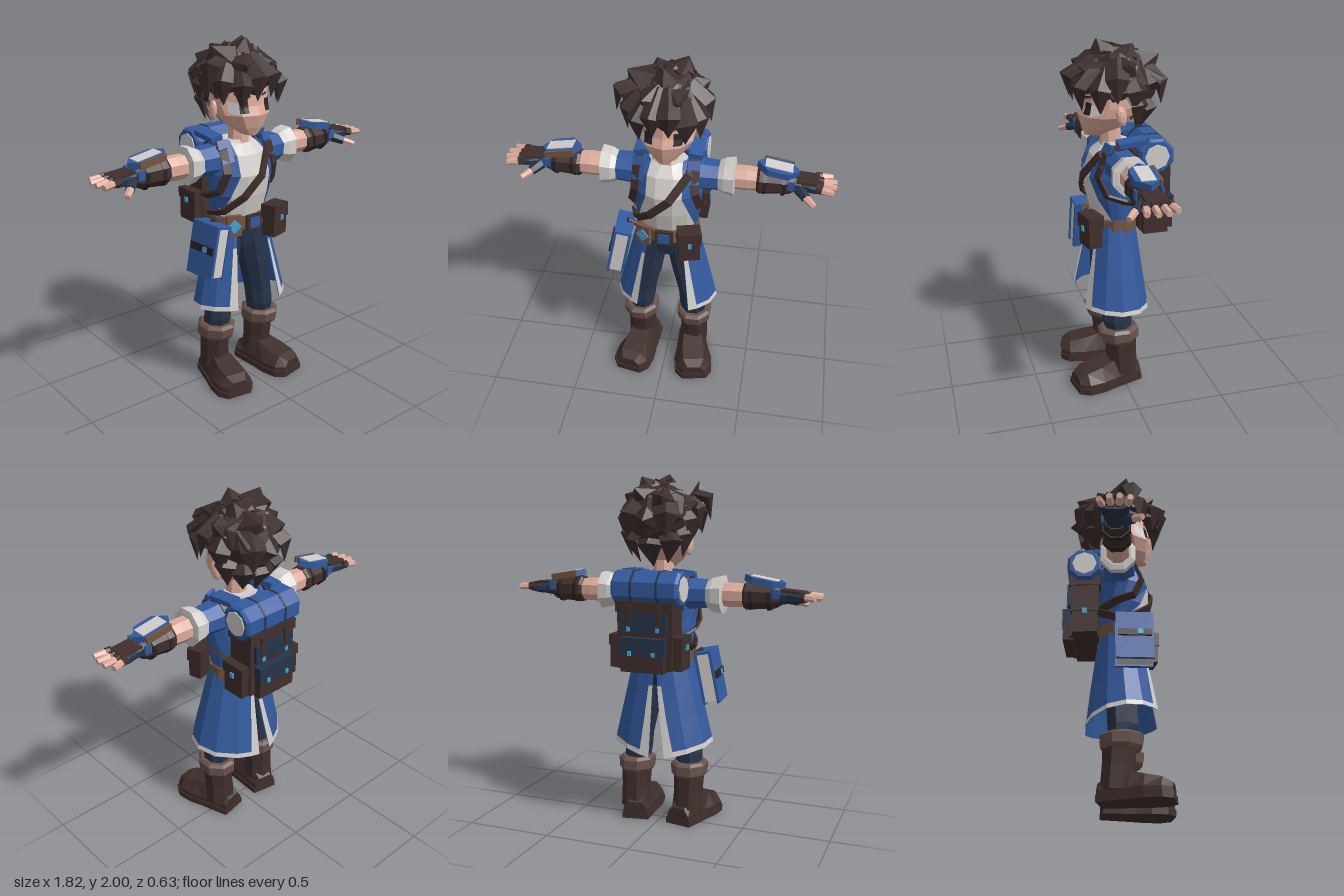
import * as THREE from 'three';

const V = (x, y, z) => new THREE.Vector3(x, y, z);
const mat = (name, color, side = THREE.FrontSide) => Object.assign(new THREE.MeshStandardMaterial({ color, side }), { name });
const HAIR = mat('hairBrown', 0x3c2e2d), SKIN = mat('skin', 0xdcab9b), BLUE = mat('coatBlue', 0x335a9e, THREE.DoubleSide);
const WHITE = mat('clothWhite', 0xd2cfcc, THREE.DoubleSide), NAVY = mat('navy', 0x28344a), LEATHER = mat('darkLeather', 0x402f2c);
const CUFF = mat('cuffBrown', 0x6a534c), TAN = mat('tan', 0x755540), GEM = mat('gemBlue', 0x4aa3d4), DARK = mat('nearBlack', 0x272226);

const flat = g => { const f = g.index ? g.toNonIndexed() : g; f.computeVertexNormals(); return f; };
function add(parent, name, geo, material, x = 0, y = 0, z = 0, rx = 0, ry = 0, rz = 0) {
  const m = new THREE.Mesh(flat(geo), material);
  m.name = name; m.position.set(x, y, z); m.rotation.set(rx, ry, rz);
  parent.add(m);
  return m;
}
const box = (p, name, material, w, h, d, ...at) => add(p, name, new THREE.BoxGeometry(w, h, d), material, ...at);
function group(parent, name) { const g = new THREE.Group(); g.name = name; parent.add(g); return g; }

// Skin over a row of rings; pick(i, j) may choose a material per face
function loft(parent, name, rings, material, { closed = true, pick = () => material } = {}) {
  const buckets = new Map();
  const tri = (m, ...p) => { if (!buckets.has(m)) buckets.set(m, []); p.forEach(v => buckets.get(m).push(v.x, v.y, v.z)); };
  const n = rings[0].length, cols = closed ? n : n - 1;
  for (let i = 0; i < rings.length - 1; i++) for (let j = 0; j < cols; j++) {
    const k = (j + 1) % n, m = pick(i, j), [a, b] = [rings[i], rings[i + 1]];
    tri(m, a[j], a[k], b[k]); tri(m, a[j], b[k], b[j]);
  }
  if (closed) for (let j = 1; j < n - 1; j++) {
    const a = rings[0], b = rings[rings.length - 1];
    tri(material, a[0], a[j + 1], a[j]); tri(material, b[0], b[j], b[j + 1]);
  }
  const geo = new THREE.BufferGeometry(), all = [], mats = [...buckets.keys()];
  mats.forEach((m, i) => { geo.addGroup(all.length / 3, buckets.get(m).length / 3, i); all.push(...buckets.get(m)); });
  geo.setAttribute('position', new THREE.Float32BufferAttribute(all, 3));
  return add(parent, name, geo, mats.length > 1 ? mats : mats[0]);
}
const ring = (n, fn) => Array.from({ length: n }, (_, j) => { const a = (j + 0.5) / n * Math.PI * 2; return fn(Math.cos(a), Math.sin(a)); });
// Rows are [y, centreX, centreZ, radiusX, radiusZ] or, along x, [x, radiusY, radiusZ]
const upright = (p, name, m, n, rows) => loft(p, name, rows.map(([y, cx, cz, rx, rz]) => ring(n, (c, s) => V(cx + rx * s, y, cz + rz * c))), m);
const sideways = (p, name, m, n, rows) => loft(p, name, rows.map(([x, ry, rz]) => ring(n, (c, s) => V(x, ry * c, rz * s))), m);
// Tapered rod between two points
function rod(p, name, m, a, b, ra, rb, n = 6) {
  const d = b.clone().sub(a), mid = a.clone().add(b).multiplyScalar(0.5);
  const o = add(p, name, new THREE.CylinderGeometry(rb, ra, d.length(), n), m, mid.x, mid.y, mid.z);
  o.quaternion.setFromUnitVectors(V(0, 1, 0), d.normalize());
}
const SLAB = [[1, -1], [1, 1], [-1, 1], [-1, -1]], WEDGE = [[1, 0], [0, 1], [-1, 0], [0, -1]];
// Band through points, facing away from a centre, with width scaled per point
function band(p, name, m, q, centre, w, t, shape = SLAB, scale = q.map(() => 1)) {
  loft(p, name, q.map((a, i) => {
    const d = q[Math.min(i + 1, q.length - 1)].clone().sub(q[Math.max(i - 1, 0)]).normalize();
    const n = a.clone().sub(centre); n.addScaledVector(d, -n.dot(d)).normalize();
    const s = d.clone().cross(n);
    return shape.map(([u, v]) => a.clone().addScaledVector(n, u * t * scale[i] / 2).addScaledVector(s, v * w * scale[i] / 2));
  }), m);
}
const strap = (p, name, pts, centre) => band(p, name, LEATHER, pts.map(a => V(...a)), centre, .045, .014);
const lerp = THREE.MathUtils.lerp;

function buildHead(root) {
  const head = group(root, 'head');
  // y, half width, front z, back z
  const rows = [[1.485, .035, .175, .06], [1.53, .095, .192, -.03], [1.60, .145, .212, -.1], [1.65, .155, .193, -.13], [1.73, .155, .185, -.14], [1.84, .14, .14, -.12]];
  loft(head, 'face', rows.map(([y, w, f, b]) => {
    const D = f - b, half = [[.62, f - .1 * D], [1, f - .36 * D], [1, f - .65 * D], [.7, b + .1 * D]];
    return [V(0, y, f), ...half.map(([u, z]) => V(u * w, y, z)), V(0, y, b), ...half.reverse().map(([u, z]) => V(-u * w, y, z))];
  }), SKIN);
  const faceZ = (x, y) => {
    let i = 0; while (i < rows.length - 2 && rows[i + 1][0] < y) i++;
    const t = (y - rows[i][0]) / (rows[i + 1][0] - rows[i][0]);
    const [w, f, b] = [1, 2, 3].map(k => lerp(rows[i][k], rows[i + 1][k], t)), u = Math.abs(x) / w, D = f - b;
    return u < .62 ? f - .1 * D * u / .62 : f - .1 * D - .26 * D * (u - .62) / .38;
  };
  for (const s of [1, -1]) {
    const patch = (name, m, x0, x1, ya, yb, h) => loft(head, name, [0, .5, 1].map(v => [0, .5, 1].map(u => {
      const x = s * lerp(s > 0 ? x0 : x1, s > 0 ? x1 : x0, u), k = s > 0 ? u : 1 - u, y = lerp(ya, yb, k) + h * v;
      return V(x, y, faceZ(x, y) + .006);
    })), m, { closed: false });
    patch('eyeIris', DARK, .055, .1, 1.615, 1.615, .065);
    patch('eyeWhite', WHITE, .1, .138, 1.605, 1.62, .06);
    patch('brow', HAIR, .04, .115, 1.695, 1.71, .012);
    add(head, 'ear', new THREE.IcosahedronGeometry(1, 1).scale(.022, .058, .032), SKIN, s * .16, 1.615, .01, .15, s * .3, 0);
  }
  upright(root, 'neck', SKIN, 8, [[1.38, 0, .03, .065, .065], [1.54, 0, .03, .055, .055]]);

  // Hair: a faceted cap under broad pointed tufts and hanging locks
  const hair = group(head, 'hair'), C = V(0, 1.78, 0);
  const cap = new THREE.IcosahedronGeometry(1, 1), P = cap.attributes.position;
  for (let i = 0; i < P.count; i++) {
    const [x, y, z] = [P.getX(i), P.getY(i), P.getZ(i)];
    const drop = y > 0 ? 1 : lerp(1.2, .35, THREE.MathUtils.smoothstep(z, -.5, .1));
    P.setXYZ(i, x * .2, C.y + y * .185 * drop, z * .225 - .01);
  }
  add(hair, 'hairCap', cap, HAIR);
  [[-.2, 1.965, .06], [-.01, 2, .1], [.095, 1.985, -.06], [.21, 1.89, -.03], [-.08, 1.95, -.12], [0, 1.75, -.285], [-.15, 1.78, -.23],
    [.15, 1.8, -.23], [.07, 1.92, -.22], [-.09, 1.88, -.24], [.225, 1.8, .05], [-.23, 1.85, -.05], [-.1, 1.88, .22], [.08, 1.88, .22], [0, 1.8, .285]
  ].forEach(t => rod(hair, 'tuft', HAIR, C.clone().lerp(V(...t), .25), V(...t), .19, .002, 5));
  // Tip position, outward bulge, width
  [[-.255, 1.75, .1, .95, .13], [-.19, 1.67, .14, 1.05, .12], [-.12, 1.65, .21, 1.1, .12], [-.045, 1.69, .245, 1.1, .11], [.04, 1.7, .25, 1.1, .12],
    [.12, 1.65, .215, 1.1, .12], [.185, 1.64, .13, 1.05, .12], [.23, 1.7, .05, .95, .13], [-.22, 1.69, .02, 1, .13],
    [.185, 1.63, -.06, 1.1, .13], [-.185, 1.63, -.06, 1.1, .13], [0, 1.5, -.12, 1.55, .15], [-.08, 1.52, -.11, 1.5, .13], [.08, 1.52, -.11, 1.5, .13],
    [.15, 1.55, -.07, 1.2, .12], [-.15, 1.55, -.07, 1.2, .12], [-.11, 1.66, -.225, 1, .14], [.11, 1.66, -.225, 1, .14]
  ].forEach(([x, y, z, k, w]) => band(hair, 'lock', HAIR, [V(x * .5, Math.min(y + .24, 1.9), z * .5), V(x * k, y + .12, z * k), V(x, y, z)], C, w, w * .55, WEDGE, [.9, 1, .03]));
}

function buildTorso(root) {
  // y, half width, centre z, half depth, opening angle of the jacket
  const rows = [[.93, .15, .02, .11, 1.3], [1.03, .16, .02, .12, 1.2], [1.15, .18, .035, .135, .8], [1.27, .19, .045, .14, .52], [1.38, .185, .03, .115, .52], [1.44, .1, .005, .08, .9]];
  upright(root, 'shirt', WHITE, 12, rows.map(([y, w, z, d]) => [y - .01, 0, z, w, d]));
  loft(root, 'jacket', rows.map(([y, w, z, d, a]) => Array.from({ length: 13 }, (_, j) => {
    const t = lerp(a, Math.PI * 2 - a, j / 12);
    return V(Math.sin(t) * (w + .01), y, z + Math.cos(t) * (d + .012));
  })), BLUE, { closed: false });
  upright(root, 'shirtCollar', WHITE, 10, [[1.4, 0, .01, .11, .09], [1.445, 0, .005, .09, .08]]);

  // Belt with buckle, gem plate and pouch
  upright(root, 'belt', TAN, 12, [[.945, 0, .02, .182, .14], [1.02, 0, .02, .182, .14]]);
  box(root, 'buckleFrame', LEATHER, .1, .09, .02, 0, .985, .165);
  box(root, 'buckleInset', BLUE, .065, .06, .008, 0, .985, .178);
  box(root, 'gemPlate', TAN, .085, .12, .025, -.12, .98, .14, 0, -.35, 0);
  box(root, 'beltGem', GEM, .058, .058, .016, -.124, .98, .151, 0, -.35, Math.PI / 4);
  const pouch = group(root, 'beltPouch');
  pouch.position.set(.143, .98, .18); pouch.rotation.y = .25;
  box(pouch, 'pouchBody', LEATHER, .12, .17, .08, 0, -.01, 0);
  box(pouch, 'pouchFlap', LEATHER, .132, .08, .095, 0, .05, 0);
  box(pouch, 'pouchClasp', GEM, .02, .03, .01, 0, .015, .051);

  // Split coat skirt edged in white, with a plain lining just inside it
  for (const s of [1, -1]) {
    const panel = inset => [1, .95, .65, .3, 0].map(t => {
      const a0 = lerp(.58, .54, t), a1 = Math.PI - lerp(.03, s > 0 ? .03 : .28, t), e = .03 + .05 * t;
      const row = [0, e, .22, .4, .6, .8, 1 - e, 1].map(u => {
        const a = lerp(a0, a1, u), low = lerp(.5, .42, u * u);
        return V(s * Math.sin(a) * (lerp(.172, .3, t) - inset), lerp(1.0, low, t), .025 + .01 * t + Math.cos(a) * (lerp(.13, .22, t) - inset));
      });
      return s > 0 ? row : row.reverse();
    });
    loft(root, 'coatSkirt', panel(0), BLUE, { closed: false, pick: (i, j) => i === 0 || (i < 3 && (j === 0 || j === 6)) ? WHITE : BLUE });
    loft(root, 'skirtLining', panel(.006), BLUE, { closed: false });
  }

  // Straps
  strap(root, 'chestStrap', [[.15, 1.45, -.03], [.13, 1.4, .125], [.03, 1.26, .2], [-.08, 1.15, .185], [-.165, 1.06, .1], [-.195, 1.04, 0], [-.14, 1.1, -.12]], V(0, 1.24, 0));
  for (const s of [1, -1]) {
    strap(root, 'packStrap', [[s * .15, 1.38, -.1], [s * .155, 1.45, -.02], [s * .16, 1.41, .1], [s * .165, 1.29, .145], [s * .19, 1.18, .1], [s * .198, 1.14, 0], [s * .15, 1.1, -.1]], V(s * .1, 1.27, 0));
    box(root, 'shoulderPad', BLUE, .075, .03, .16, s * .15, 1.465, -.05, .1, 0, -s * .12);
    box(root, 'lapelPad', BLUE, .07, .13, .02, s * .147, 1.4, .1, -.45, s * .3, 0);
  }
}

function buildArm(root, s) {
  const arm = group(root, s > 0 ? 'leftArm' : 'rightArm');
  arm.position.set(0, 1.345, .015); arm.scale.x = s;
  sideways(arm, 'sleeve', BLUE, 8, [[.12, .1, .1], [.2, .088, .095], [.31, .08, .085]]);
  sideways(arm, 'sleeveCuff', WHITE, 8, [[.28, .082, .088], [.31, .1, .1], [.365, .112, .105], [.37, .08, .08]]);
  sideways(arm, 'forearm', SKIN, 8, [[.35, .068, .066], [.43, .07, .066], [.52, .064, .062]]);
  sideways(arm, 'bracer', LEATHER, 8, [[.485, .07, .072], [.5, .08, .08], [.66, .066, .07], [.685, .052, .06]]);
  for (const x of [.53, .63]) sideways(arm, 'bracerBand', DARK, 8, [[x - .01, .081, .084], [x + .01, .077, .081]]);
  // Raised wrist guard
  const guard = group(arm, 'wristGuard');
  guard.position.set(.595, .08, 0); guard.rotation.z = -.17;
  add(guard, 'guardPlate', new THREE.CylinderGeometry(1, 1, .035, 6).rotateY(Math.PI / 2).scale(.115, 1, .08), BLUE);
  box(guard, 'guardInset', WHITE, .15, .008, .078, 0, .018, 0);
  box(guard, 'guardRim', TAN, .16, .037, .012, 0, 0, -s * .066);
  for (const z of [-.07, .07]) box(arm, 'wristFlap', BLUE, .04, .05, .01, .67, .02, z);
  // Fingerless glove and hand
  sideways(arm, 'glove', NAVY, 8, [[.67, .048, .055], [.72, .038, .055], [.78, .034, .075], [.83, .024, .078]]);
  box(arm, 'gloveBack', LEATHER, .12, .012, .11, .755, .032, 0, 0, 0, -.08);
  for (let i = 0; i < 4; i++) {
    const z = -.058 + i * .039, tip = [.885, .91, .91, .895][i];
    const at = t => V(lerp(.8, tip, t), lerp(.012, .004, t), z * lerp(1, 1.35, t));
    rod(arm, 'gloveFinger', LEATHER, at(0), at(.35), .024, .023);
    rod(arm, 'finger', SKIN, at(.2), at(1), .021, .017);
  }
  rod(arm, 'gloveThumb', NAVY, V(.71, -.01, .04), V(.755, -.03, .095), .032, .026);
  rod(arm, 'thumb', SKIN, V(.745, -.026, .085), V(.8, -.05, .138), .023, .017);
}

function buildLeg(root, s) {
  const leg = group(root, s > 0 ? 'leftLeg' : 'rightLeg');
  leg.scale.x = s;
  upright(leg, 'trouserLeg', NAVY, 8, [[.32, .165, .025, .07, .075], [.41, .157, .035, .08, .088], [.5, .148, .03, .08, .088], [.7, .11, .03, .088, .095], [.96, .07, .02, .1, .1]]);
  upright(leg, 'bootShaft', LEATHER, 8, [[.06, .16, .0, .09, .09], [.19, .165, .01, .083, .09], [.32, .165, .02, .09, .098]]);
  upright(leg, 'bootCuff', CUFF, 8, [[.275, .165, .025, .092, .1], [.295, .165, .025, .104, .118], [.35, .165, .03, .108, .124], [.365, .165, .03, .092, .105]]);
  const foot = group(leg, 'foot');
  foot.position.x = .15; foot.rotation.y = .18;
  const rows = [[-.09, .07, .1], [0, .083, .16], [.08, .092, .155], [.16, .108, .135], [.25, .104, .115], [.3, .065, .09]];
  loft(foot, 'bootFoot', rows.map(([z, w, h]) => [V(w, .01, z), V(w, .06, z), V(w * .6, h, z), V(-w * .6, h, z), V(-w, .06, z), V(-w, .01, z)]), LEATHER);
  loft(foot, 'bootSole', rows.map(([z, w]) => [V(w + .008, 0, z * 1.02), V(w + .008, .035, z * 1.02), V(-w - .008, .035, z * 1.02), V(-w - .008, 0, z * 1.02)]), LEATHER);
}

function buildPack(root) {
  const pack = group(root, 'backpack');
  box(pack, 'packBody', LEATHER, .32, .37, .16, 0, 1.13, -.18);
  box(pack, 'packLid', LEATHER, .335, .06, .18, 0, 1.29, -.18);
  box(pack, 'packFlap', NAVY, .27, .11, .025, 0, 1.205, -.268);
  box(pack, 'lowerPocket', LEATHER, .25, .17, .06, 0, 1.02, -.272);
  box(pack, 'pocketFlap', NAVY, .26, .1, .065, 0, 1.075, -.274);
  for (const s of [1, -1]) {
    box(pack, 'sidePocket', LEATHER, .06, .17, .14, s * .18, 1.03, -.175);
    box(pack, 'sidePocketLid', LEATHER, .07, .06, .155, s * .18, 1.1, -.175);
    box(pack, 'sideClasp', GEM, .01, .03, .025, s * .218, 1.07, -.175);
    box(pack, 'flapStrap', LEATHER, .03, .12, .012, s * .085, 1.24, -.28);
    box(pack, 'flapClasp', GEM, .02, .025, .012, s * .085, 1.17, -.284);
    box(pack, 'pocketClasp', GEM, .02, .025, .012, s * .07, 1.04, -.308);
  }
  // Rolled blanket
  const roll = group(pack, 'bedroll');
  roll.position.set(0, 1.385, -.182);
  sideways(roll, 'blanket', BLUE, 8, [[-.195, .09, .09], [-.18, .103, .106], [.18, .103, .106], [.195, .09, .09]]);
  for (const s of [1, -1]) {
    add(roll, 'blanketEnd', new THREE.CylinderGeometry(.07, .07, .008, 8).rotateZ(Math.PI / 2), WHITE, s * .197, 0, 0);
    sideways(roll, 'blanketBand', NAVY, 8, [[s * .075 - .006, .106, .109], [s * .075 + .006, .106, .109]]);
  }
}

function buildBook(root) {
  const book = group(root, 'book');
  book.position.set(-.265, .865, .1); book.rotation.set(0, .08, -.2);
  box(book, 'pages', WHITE, .075, .275, .19, 0, 0, 0);
  for (const s of [1, -1]) box(book, 'cover', BLUE, .016, .3, .205, s * .042, 0, 0);
  box(book, 'spine', BLUE, .095, .014, .205, 0, .145, 0);
  box(book, 'bookStrap', DARK, .012, .04, .18, -.054, .01, 0);
  box(book, 'bookClasp', GEM, .01, .03, .03, -.06, .01, .03);
  rod(root, 'bookHanger', LEATHER, V(-.225, 1.02, .08), V(-.17, .98, .06), .015, .015);
}

export function createModel() {
  const root = new THREE.Group();
  root.name = 'adventurer';
  buildHead(root);
  buildTorso(root);
  upright(root, 'hips', NAVY, 10, [[.82, 0, .025, .09, .09], [.9, 0, .02, .15, .11], [.98, 0, .02, .16, .12]]);
  for (const s of [1, -1]) { buildArm(root, s); buildLeg(root, s); }
  buildPack(root);
  buildBook(root);
  return root;
}
